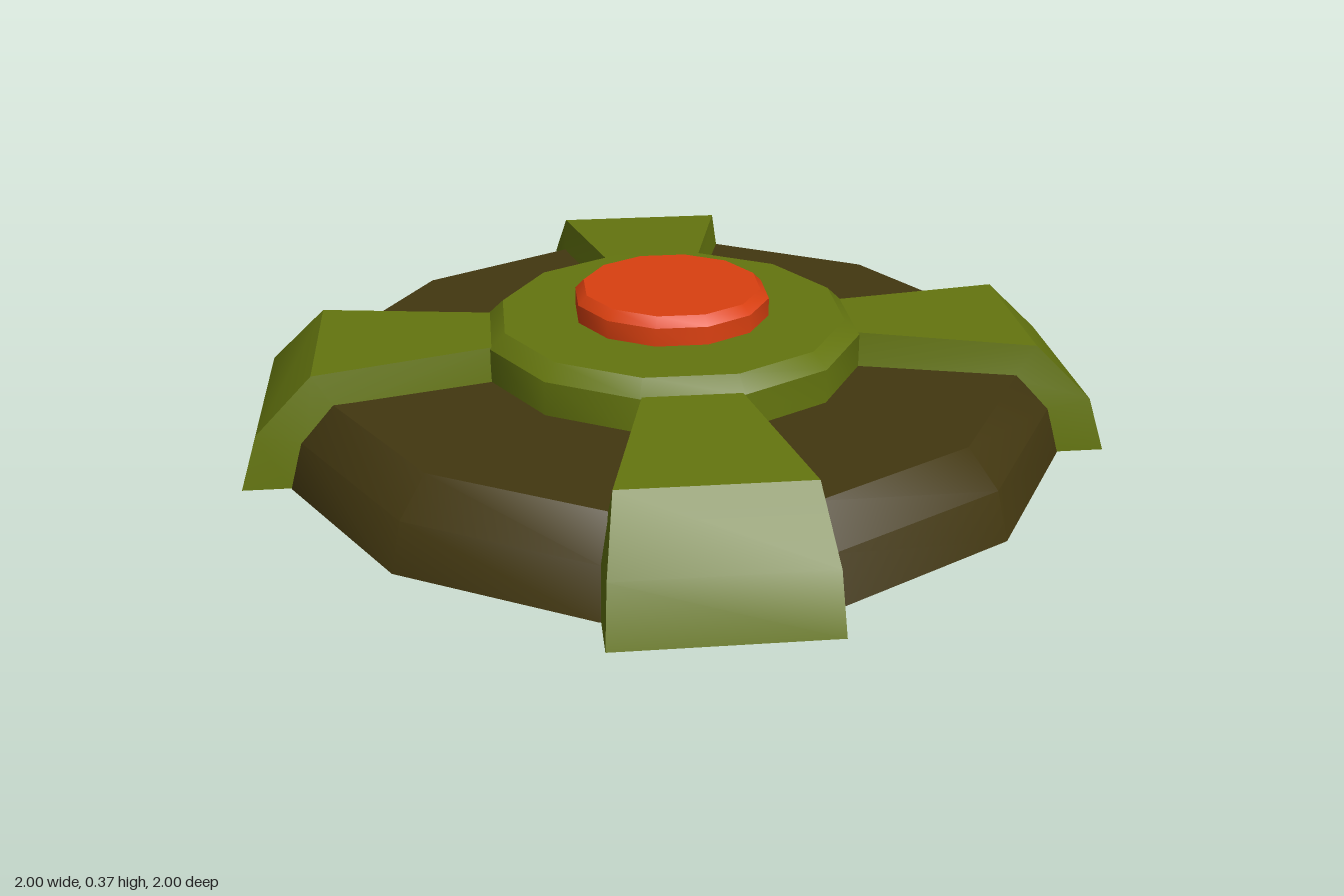
import * as THREE from 'three';
import { toCreasedNormals } from 'three/addons/utils/BufferGeometryUtils.js';

const CREASE = 0.62;
const SIDES = 12;
const FLAT = Math.cos(Math.PI / SIDES); // flat-to-centre distance over corner radius

const paint = (name, color) => {
  const m = new THREE.MeshStandardMaterial({ color });
  m.name = name;
  return m;
};

// Twelve-sided turned part; the profile gives [distance to flat, height], bottom to top
function turned(name, profile, material) {
  const points = profile.map(([r, y]) => new THREE.Vector2(r / FLAT, y));
  const geo = new THREE.LatheGeometry(points, SIDES, Math.PI / SIDES);
  const mesh = new THREE.Mesh(toCreasedNormals(geo, CREASE), material);
  mesh.name = name;
  return mesh;
}

// Tapering bracket along +z, lofted through four-cornered sections
function armGeometry() {
  // each section: top [half width, y, z], bottom [half width, y, z]
  const sections = [
    [[0.235, 0, 1], [0.235, 0, 0.889]],
    [[0.228, 0.13, 0.96], [0.232, 0.11, 0.85]],
    [[0.205, 0.26, 0.83], [0.212, 0.18, 0.78]],
    [[0.104, 0.274, 0.4], [0.11, 0.18, 0.4]],
  ].map(([t, b]) => [
    [t[0], t[1], t[2]], [-t[0], t[1], t[2]],
    [-b[0], b[1], b[2]], [b[0], b[1], b[2]],
  ]);
  const pos = [];
  const quad = (a, b, c, d) => pos.push(...a, ...b, ...c, ...a, ...c, ...d);
  for (let i = 0; i < sections.length - 1; i++) {
    const s = sections[i], n = sections[i + 1];
    for (let j = 0; j < 4; j++) {
      const k = (j + 1) % 4;
      quad(s[j], n[j], n[k], s[k]);
    }
  }
  const end = sections[sections.length - 1];
  quad(...sections[0]);
  quad(end[3], end[2], end[1], end[0]);
  const geo = new THREE.BufferGeometry();
  geo.setAttribute('position', new THREE.Float32BufferAttribute(pos, 3));
  return toCreasedNormals(geo, CREASE);
}

export function createModel() {
  const brown = paint('dark brown', 0x423710);
  const green = paint('olive green', 0x64750f);
  const orange = paint('orange red', 0xda4010);

  const model = new THREE.Group();
  model.name = 'disc';

  // Low bevelled base, closed underneath
  model.add(turned('base',
    [[0, 0], [0.889, 0], [0.86, 0.11], [0.785, 0.19], [0, 0.19]], brown));

  // Raised centre with a chamfered rim
  model.add(turned('hub',
    [[0.43, 0.18], [0.43, 0.27], [0.395, 0.305], [0, 0.305]], green));

  // Push button
  model.add(turned('button',
    [[0.223, 0.3], [0.223, 0.348], [0.203, 0.37], [0, 0.37]], orange));

  // Four brackets around the hub
  const geo = armGeometry();
  for (let i = 0; i < 4; i++) {
    const arm = new THREE.Mesh(geo, green);
    arm.name = 'arm' + (i + 1);
    arm.rotation.y = i * Math.PI / 2;
    model.add(arm);
  }
  return model;
}
